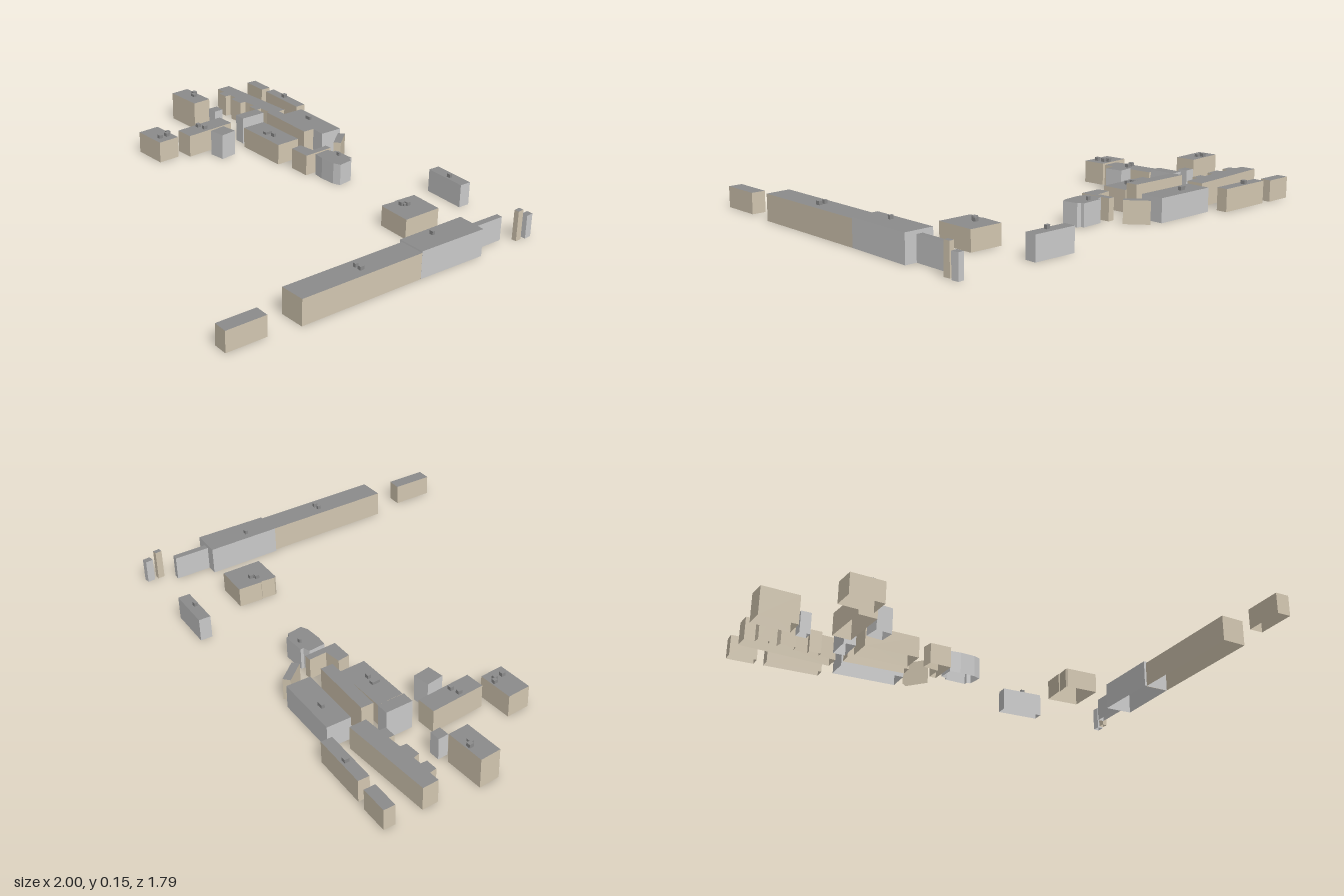
import * as THREE from 'three';

const BEIGE = new THREE.MeshStandardMaterial({ color: 0xd4c8b2, side: THREE.DoubleSide });
const GREY = new THREE.MeshStandardMaterial({ color: 0xc6c8c6, side: THREE.DoubleSide });
const ROOF = new THREE.MeshStandardMaterial({ color: 0x8c8c8c, side: THREE.DoubleSide });

// Four plan corners [x, z] of a rectangle turned by some degrees
function rect(cx, cz, w, d, degrees) {
  const a = THREE.MathUtils.degToRad(degrees), c = Math.cos(a), s = Math.sin(a);
  return [[-1, 1], [1, 1], [1, -1], [-1, -1]].map(([i, j]) => {
    const u = i * w / 2, v = j * d / 2;
    return [cx + u * c - v * s, cz + u * s + v * c];
  });
}

// Open-bottomed walls standing on a plan outline
function wallGeometry(outline, y0, y1) {
  const v = [];
  outline.forEach((a, i) => {
    const b = outline[(i + 1) % outline.length];
    v.push(a.x, y0, -a.y, b.x, y0, -b.y, b.x, y1, -b.y);
    v.push(a.x, y0, -a.y, b.x, y1, -b.y, a.x, y1, -a.y);
  });
  const g = new THREE.BufferGeometry();
  g.setAttribute('position', new THREE.Float32BufferAttribute(v, 3));
  g.computeVertexNormals();
  return g;
}

function block(name, plan, y0, y1, wallMaterial) {
  const group = new THREE.Group();
  group.name = name;
  const outline = plan.map(([x, z]) => new THREE.Vector2(x, -z));
  if (THREE.ShapeUtils.area(outline) < 0) outline.reverse();
  const walls = new THREE.Mesh(wallGeometry(outline, y0, y1), wallMaterial);
  walls.name = 'walls';
  const roof = new THREE.Mesh(new THREE.ShapeGeometry(new THREE.Shape(outline)), ROOF);
  roof.name = 'roof';
  roof.rotation.x = -Math.PI / 2;
  roof.position.y = y1;
  group.add(walls, roof);
  return group;
}

export function createModel() {
  const model = new THREE.Group();
  model.name = 'buildingSite';

  // A building with small roof units at the given [x, z] places
  const building = (name, material, height, plan, units = []) => {
    const b = block(name, plan, 0, height, material);
    units.forEach(([x, z, w = 0.018, d = 0.018, h = 0.016]) =>
      b.add(block('roofUnit', rect(x, z, w, d, 7), height, height + h, ROOF)));
    model.add(b);
  };

  // Back row
  building('backShortBlock', BEIGE, 0.095, rect(-0.85, -0.865, 0.125, 0.05, 9));
  building('backLongBlock', BEIGE, 0.1, rect(-0.62, -0.823, 0.255, 0.05, 9.5), [[-0.632, -0.83, 0.02, 0.02]]);
  building('combBlock', BEIGE, 0.105, [
    [-0.938, -0.66], [-0.93, -0.73], [-0.505, -0.698], [-0.515, -0.623],
    [-0.596, -0.628], [-0.6, -0.6], [-0.655, -0.607], [-0.65, -0.632],
    [-0.714, -0.635], [-0.72, -0.607], [-0.79, -0.612], [-0.793, -0.642],
    [-0.832, -0.645], [-0.837, -0.618], [-0.89, -0.623], [-0.89, -0.655]]);
  building('wideHall', GREY, 0.105, rect(-0.31, -0.684, 0.3, 0.108, 9.3), [[-0.34, -0.695, 0.03, 0.014]]);
  building('narrowHall', BEIGE, 0.135, rect(-0.34, -0.564, 0.293, 0.055, 9.3));
  building('slantedShed', BEIGE, 0.1, rect(-0.088, -0.635, 0.112, 0.034, 58.5));

  // Front of the dense cluster
  building('endBlock', BEIGE, 0.135, rect(-0.906, -0.444, 0.18, 0.092, 5),
    [[-0.912, -0.473, 0.02, 0.02], [-0.896, -0.456, 0.024, 0.016, 0.012]]);
  building('smallShed', GREY, 0.1, rect(-0.757, -0.474, 0.049, 0.046, 6));
  building('uprightBlock', GREY, 0.13, rect(-0.542, -0.497, 0.056, 0.122, 8));
  building('middleHall', BEIGE, 0.098, rect(-0.356, -0.452, 0.259, 0.118, 7),
    [[-0.366, -0.44, 0.02, 0.036, 0.012], [-0.324, -0.438, 0.02, 0.014]]);
  building('crossBlock', BEIGE, 0.105, rect(-0.622, -0.276, 0.088, 0.25, 4.5),
    [[-0.645, -0.254], [-0.607, -0.26]]);
  building('squareBlock', GREY, 0.12, rect(-0.5, -0.278, 0.077, 0.08, 0));
  building('frontBlock', BEIGE, 0.1, rect(-0.714, -0.065, 0.162, 0.105, 5),
    [[-0.69, -0.1], [-0.676, -0.083], [-0.68, -0.045]]);
  building('angledBlock', BEIGE, 0.097, [
    [-0.163, -0.395], [-0.163, -0.45], [-0.085, -0.45],
    [-0.078, -0.53], [-0.046, -0.527], [-0.062, -0.382]]);
  building('manySidedBlock', GREY, 0.1, [
    [-0.04, -0.42], [-0.035, -0.495], [-0.003, -0.5], [-0.003, -0.515], [0.1, -0.505],
    [0.1, -0.49], [0.117, -0.483], [0.117, -0.413], [0.083, -0.403], [0.01, -0.408]],
    [[0.04, -0.484, 0.016, 0.01]]);

  // Separate blocks on the other side
  building('backSideBlock', GREY, 0.105, rect(0.535, -0.654, 0.2, 0.053, 10), [[0.542, -0.644, 0.018, 0.014]]);
  building('squareHall', BEIGE, 0.09, [
    [0.495, -0.25], [0.51, -0.31], [0.506, -0.315], [0.527, -0.42],
    [0.677, -0.393], [0.65, -0.215], [0.5, -0.24]],
    [[0.549, -0.307], [0.567, -0.325], [0.56, -0.312, 0.014, 0.014, 0.01]]);

  // Long hall in three joined sections
  building('longHallFront', BEIGE, 0.115,
    [[0.698, 0.565], [0.81, 0.577], [0.9, -0.002], [0.788, -0.018]],
    [[0.788, 0.26, 0.014, 0.016], [0.816, 0.262, 0.016, 0.02]]);
  building('longHallBack', GREY, 0.122,
    [[0.777, -0.016], [0.9, 0], [0.955, -0.318], [0.826, -0.34]],
    [[0.837, -0.14, 0.018, 0.012]]);
  building('longHallSpur', GREY, 0.107,
    [[0.874, -0.332], [0.9, -0.49], [0.928, -0.484], [0.903, -0.327]]);
  building('southBlock', BEIGE, 0.092, rect(0.725, 0.8, 0.063, 0.182, 9));
  building('greyTower', GREY, 0.105, rect(0.981, -0.586, 0.028, 0.034, 4));
  building('beigeTower', BEIGE, 0.135, rect(0.971, -0.538, 0.022, 0.03, 4));

  return model;
}
